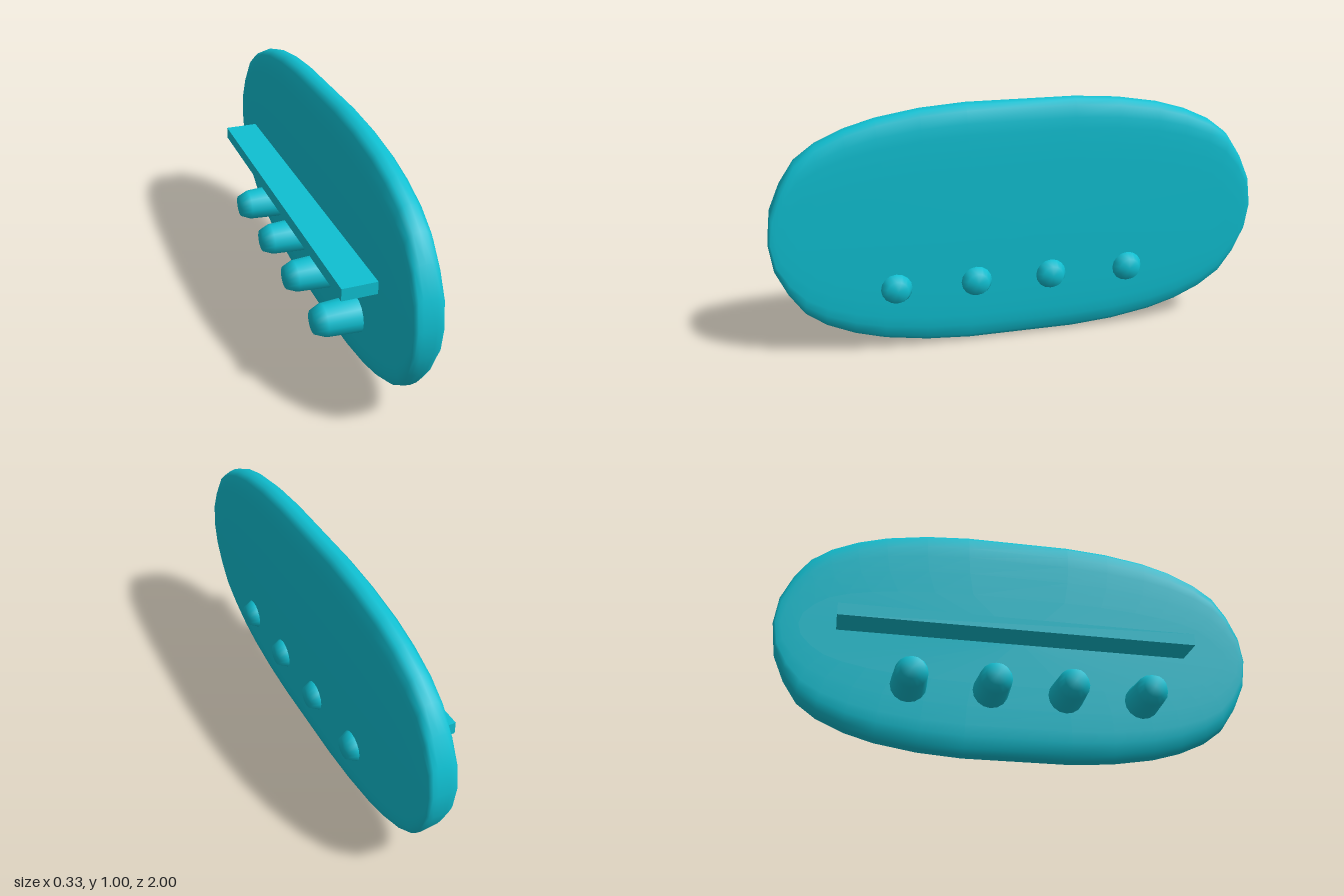
import * as THREE from 'three';

const teal = new THREE.MeshStandardMaterial({ color: 0x0fc0d2 });
teal.name = 'teal';

// Oval panel: one outline scaled into rings across the thickness (x)
function panelGeometry() {
  const quarter = [[1, 0], [0.985, 0.12], [0.94, 0.225], [0.88, 0.315], [0.8, 0.375],
    [0.69, 0.425], [0.57, 0.46], [0.4, 0.488], [0.22, 0.501]];
  const upper = [...quarter, ...quarter.slice().reverse().map(([z, y]) => [-z, y])];
  const outline = [...upper, ...upper.slice(1, -1).reverse().map(([z, y]) => [z, -y])];

  // half thickness, height scale, length scale
  const half = [[0.059, 0.4, 0.9], [0.058, 0.6, 0.97], [0.056, 0.76, 0.99],
    [0.053, 0.85, 0.997], [0.043, 0.945, 1], [0.025, 0.985, 1]];
  const rings = [...half.map(([x, sy, sz]) => [-x, sy, sz]), [0, 1, 1], ...half.slice().reverse()];

  const n = outline.length;
  const positions = [];
  const index = [];
  for (const [x, sy, sz] of rings) {
    for (const [z, y] of outline) positions.push(x, y * sy, z * sz);
  }
  const capA = rings.length * n;
  const capB = capA + 1;
  positions.push(-0.059, 0, 0, 0.059, 0, 0);
  const last = (rings.length - 1) * n;
  for (let j = 0; j < n; j++) {
    const k = (j + 1) % n;
    for (let i = 0; i < rings.length - 1; i++) {
      const a = i * n + j, b = i * n + k;
      index.push(a, a + n, b, b, a + n, b + n);
    }
    index.push(capA, j, k, capB, last + k, last + j);
  }
  const geometry = new THREE.BufferGeometry();
  geometry.setAttribute('position', new THREE.Float32BufferAttribute(positions, 3));
  geometry.setIndex(index);
  geometry.computeVertexNormals();
  return geometry;
}

export function createModel() {
  const model = new THREE.Group();
  const add = (name, geometry, x, y, z) => {
    const mesh = new THREE.Mesh(geometry, teal);
    mesh.name = name;
    mesh.position.set(x, y, z);
    model.add(mesh);
    return mesh;
  };

  add('ovalPanel', panelGeometry(), 0.069, 0.503, 0);

  // Shelf bar behind the panel
  add('shelfBar', new THREE.BoxGeometry(0.14, 0.051, 1.467), -0.064, 0.5125, -0.0165);

  // Tapered pegs passing through the panel
  const profile = [[0, -0.168], [0.047, -0.168], [0.066, -0.125], [0.074, 0.01],
    [0.063, 0.128], [0.044, 0.165], [0, 0.165]].map(([r, h]) => new THREE.Vector2(r, h));
  const pegGeometry = new THREE.LatheGeometry(profile, 16).rotateZ(-Math.PI / 2);
  [0.52, 0.195, -0.118, -0.45].forEach((z, i) => add(`peg${i + 1}`, pegGeometry, 0, 0.274, z));

  return model;
}
